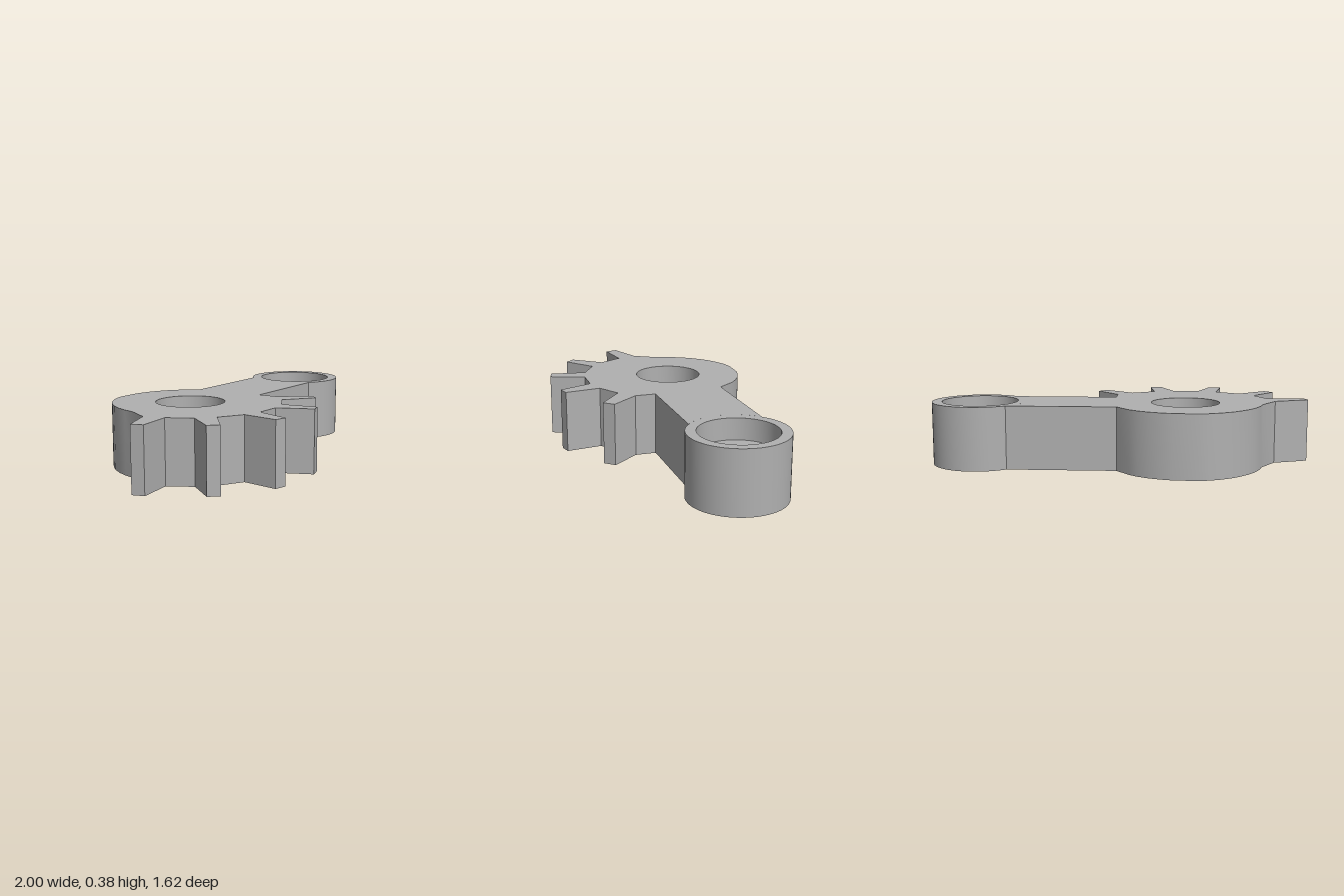
import * as THREE from 'three';
import { toCreasedNormals } from 'three/addons/utils/BufferGeometryUtils.js';

const HEIGHT = 0.38;
const BOSS = { x: 0.707, z: -0.522, outer: 0.291, recess: 0.23, bore: 0.13, floor: 0.25 };
const HUB = { x: -0.403, z: 0.049, bore: 0.205 };

export function createModel() {
  const model = new THREE.Group();
  model.name = 'gearLever';
  const grey = new THREE.MeshStandardMaterial({ color: 0xb0b0b0 });
  grey.name = 'grey';

  const add = (name, geometry, crease) => {
    const mesh = new THREE.Mesh(toCreasedNormals(geometry, crease), grey);
    mesh.name = name;
    model.add(mesh);
    return mesh;
  };

  // Plan outline as (x, z): arm edge, rounded hub back, five teeth, other arm edge
  const rounded = [
    [-0.146, -0.329], [-0.264, -0.388], [-0.33, -0.404], [-0.403, -0.41], [-0.475, -0.404],
    [-0.547, -0.388], [-0.675, -0.329], [-0.73, -0.286], [-0.772, -0.233], [-0.81, -0.172],
    [-0.836, -0.104], [-0.855, -0.03], [-0.862, 0.05], [-0.857, 0.125], [-0.841, 0.2],
  ];
  const teeth = [
    [-0.852, 0.366], [-1, 0.532], [-0.948, 0.586], [-0.766, 0.457],
    [-0.633, 0.548], [-0.675, 0.762], [-0.606, 0.789], [-0.515, 0.586],
    [-0.349, 0.594], [-0.28, 0.805], [-0.205, 0.789], [-0.232, 0.566],
    [-0.087, 0.495], [0.084, 0.639], [0.137, 0.591], [0.009, 0.409],
    [0.095, 0.275], [0.314, 0.318], [0.335, 0.243], [0.137, 0.158],
  ];
  const outline = [[0.437, -0.628], ...rounded, ...teeth, [0.079, 0.045], [0.635, -0.238]];
  const shape = new THREE.Shape(outline.map(([x, z]) => new THREE.Vector2(x, -z)));

  // The arm ends in a hollow that fits the round boss
  const angle = ([x, z]) => Math.atan2(-(z - BOSS.z), x - BOSS.x);
  shape.absarc(BOSS.x, -BOSS.z, BOSS.outer, angle([0.635, -0.238]), angle([0.437, -0.628]), true);

  const hole = new THREE.Path();
  hole.absarc(HUB.x, -HUB.z, HUB.bore, 0, Math.PI * 2, true);
  shape.holes.push(hole);

  const body = new THREE.ExtrudeGeometry(shape, {
    depth: HEIGHT, bevelEnabled: false, curveSegments: 32,
  });
  body.rotateX(-Math.PI / 2);
  add('toothedHubAndArm', body, 0.3);

  // Round boss with a bore and a wider recess in its top
  const profile = [
    [BOSS.bore, 0], [BOSS.outer, 0], [BOSS.outer, HEIGHT], [BOSS.recess, HEIGHT],
    [BOSS.recess, BOSS.floor], [BOSS.bore, BOSS.floor], [BOSS.bore, 0],
  ].map(([r, y]) => new THREE.Vector2(r, y));
  const boss = add('recessedBoss', new THREE.LatheGeometry(profile, 64), 0.5);
  boss.position.set(BOSS.x, 0, BOSS.z);

  return model;
}
